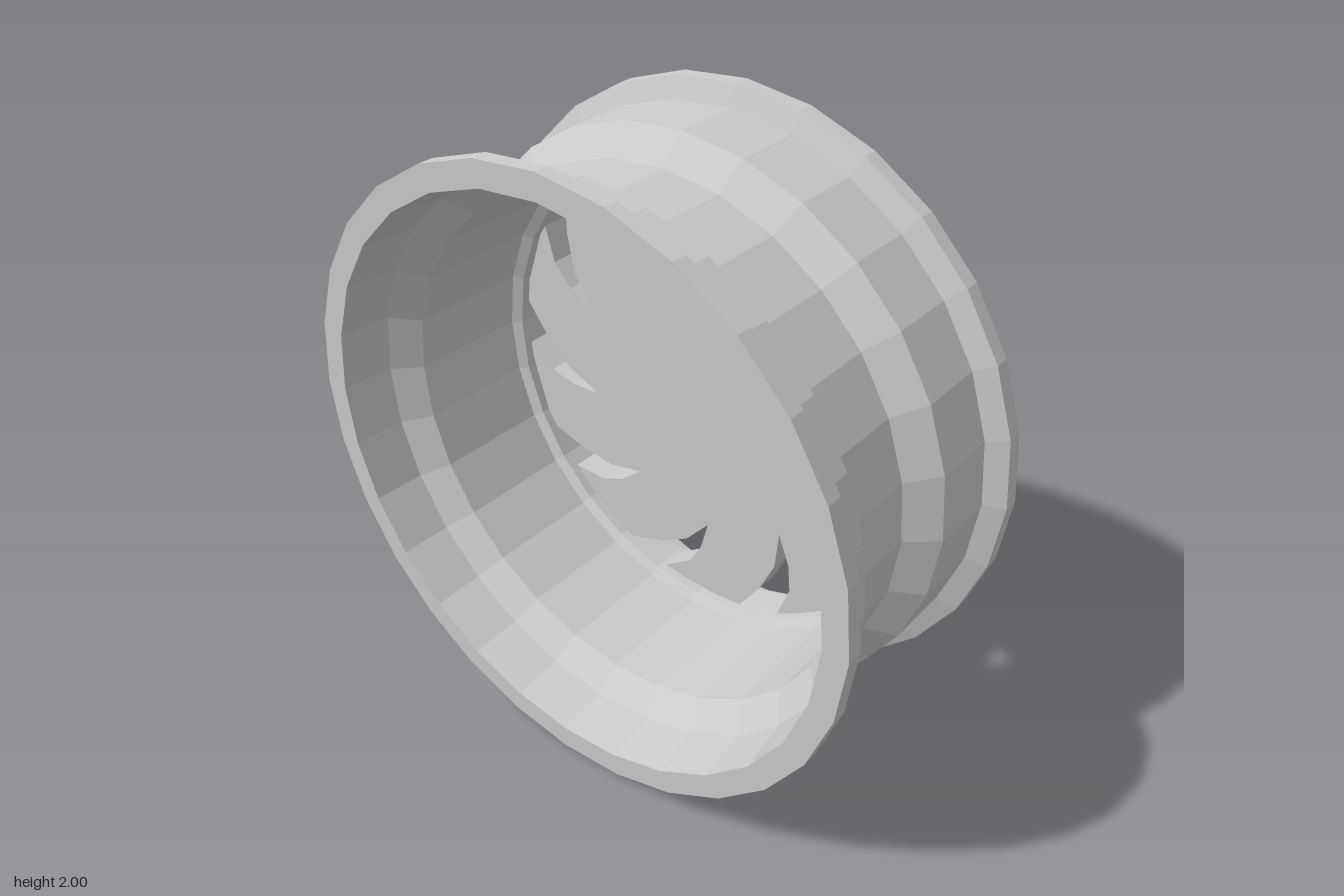
import * as THREE from 'three';

const grey = new THREE.MeshStandardMaterial({ color: 0xcccccc, flatShading: true });
const pale = new THREE.MeshStandardMaterial({ color: 0xffffff, flatShading: true });

// Lathe around the wheel axis (x); points are [x, radius], outer surface first
function turned(name, points, sides) {
  const profile = points.map(([x, r]) => new THREE.Vector2(r, x));
  const geometry = new THREE.LatheGeometry(profile, sides).rotateZ(-Math.PI / 2);
  const mesh = new THREE.Mesh(geometry, grey);
  mesh.name = name;
  return mesh;
}

// Cylinder lying along x between two positions
function disc(name, r0, r1, x0, x1, sides, material = grey) {
  const geometry = new THREE.CylinderGeometry(r1, r0, x1 - x0, sides).rotateZ(-Math.PI / 2);
  const mesh = new THREE.Mesh(geometry, material);
  mesh.position.x = (x0 + x1) / 2;
  mesh.name = name;
  return mesh;
}

// Curved blade lofted outward; rows are [radius, start angle, end angle, front x at start, front x at end]
function bladeGeometry() {
  const rows = [
    [0.20, 13, 49, 0.385, 0.375],
    [0.34, 9, 45, 0.375, 0.355],
    [0.50, 2.5, 38.5, 0.36, 0.34],
    [0.61, -0.5, 29.5, 0.35, 0.335],
    [0.70, -4.5, 20.5, 0.345, 0.33],
    [0.80, -12.5, 11.5, 0.34, 0.33],
  ];
  const back = 0.25;
  const positions = [];
  const index = [];
  const add = (x, r, degrees) => {
    const a = THREE.MathUtils.degToRad(degrees);
    positions.push(x, r * Math.cos(a), -r * Math.sin(a));
  };
  for (const [r, a0, a1, x0, x1] of rows) {
    add(x0, r, a0);
    add(x1, r, a1);
    add(back, r, a1);
    add(back, r, a0);
  }
  for (let s = 0; s < rows.length - 1; s++) {
    for (let i = 0; i < 4; i++) {
      const j = (i + 1) % 4;
      const [a, b, c, d] = [s * 4 + i, s * 4 + j, s * 4 + 4 + j, s * 4 + 4 + i];
      index.push(a, b, c, a, c, d);
    }
  }
  const geometry = new THREE.BufferGeometry();
  geometry.setAttribute('position', new THREE.Float32BufferAttribute(positions, 3));
  geometry.setIndex(index);
  const flat = geometry.toNonIndexed();
  flat.computeVertexNormals();
  return flat;
}

export function createModel() {
  const model = new THREE.Group();
  model.name = 'wheel';
  model.position.y = 1;

  // Barrel with flanges and drop centre, closed back along the inside
  model.add(turned('rim', [
    [-0.45, 0.92], [-0.45, 1], [-0.40, 1], [-0.37, 0.935], [-0.28, 0.935],
    [-0.20, 0.85], [0.035, 0.85], [0.11, 0.935], [0.325, 0.935], [0.35, 1],
    [0.40, 1], [0.40, 0.82], [0.36, 0.815], [0.35, 0.79], [0.22, 0.79],
    [0.20, 0.82], [-0.20, 0.825], [-0.28, 0.90], [-0.45, 0.92],
  ], 28));

  // Ten swirling blades
  const blades = new THREE.Group();
  blades.name = 'blades';
  const blade = bladeGeometry();
  for (let i = 0; i < 10; i++) {
    const mesh = new THREE.Mesh(blade, grey);
    mesh.name = 'blade';
    mesh.rotation.x = (i * Math.PI) / 5;
    blades.add(mesh);
  }
  model.add(blades);

  // Hub with bevelled edge and centre cap
  model.add(disc('hub', 0.275, 0.275, 0.25, 0.37, 10));
  model.add(disc('hubBevel', 0.275, 0.235, 0.37, 0.40, 10));
  model.add(disc('centreCap', 0.125, 0.125, 0.39, 0.44, 12, pale));

  // Five hexagonal wheel nuts, one straight down
  for (let i = 0; i < 5; i++) {
    const a = (i * Math.PI * 2) / 5;
    const nut = disc('wheelNut', 0.037, 0.037, 0.38, 0.445, 6);
    nut.position.y = -0.195 * Math.cos(a);
    nut.position.z = 0.195 * Math.sin(a);
    model.add(nut);
  }

  const root = new THREE.Group();
  root.add(model);
  return root;
}
